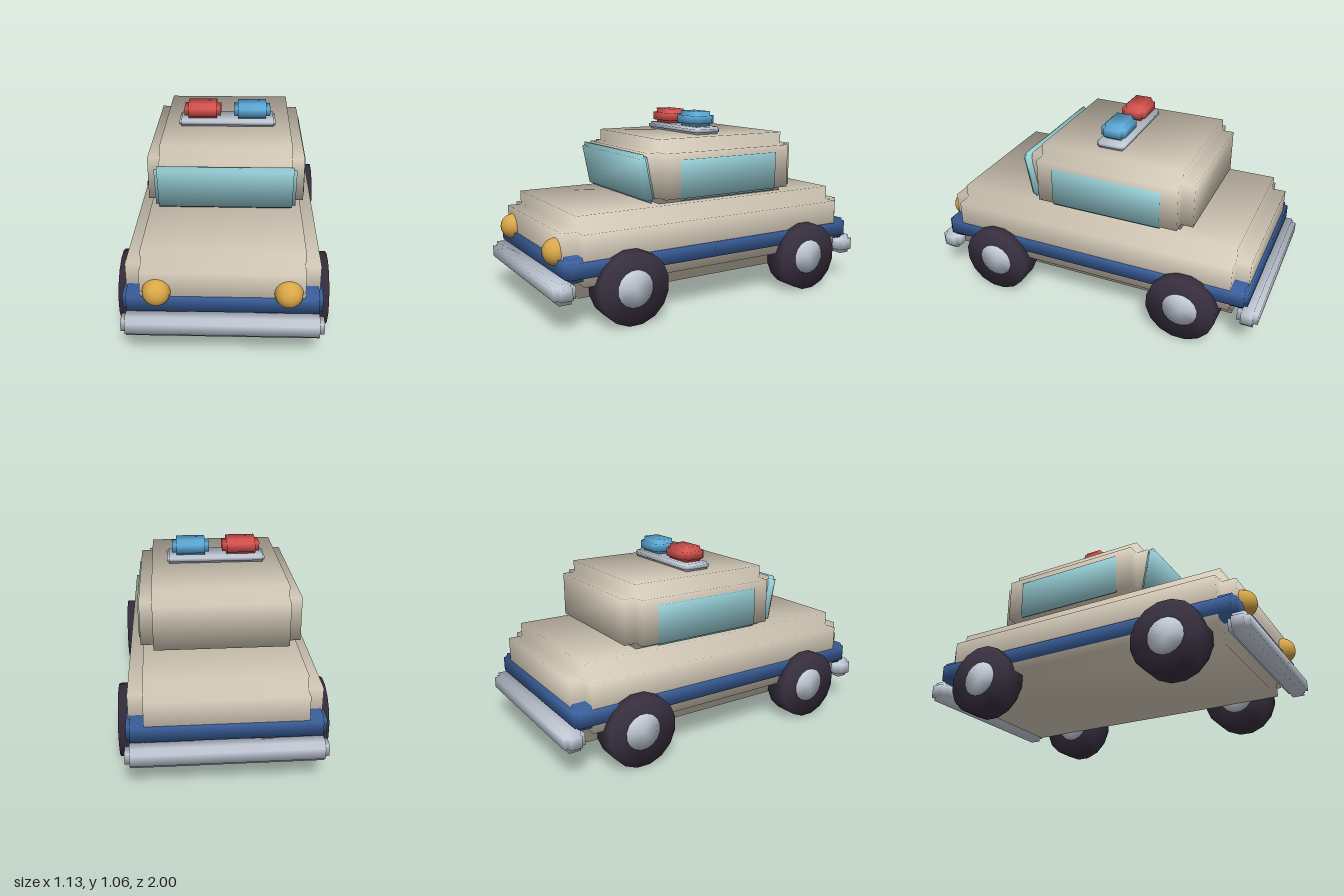
import * as THREE from 'three';
import { mergeVertices } from 'three/addons/utils/BufferGeometryUtils.js';

const mat = (name, color) => {
  const m = new THREE.MeshStandardMaterial({ color });
  m.name = name;
  return m;
};

// Box with its edges notched in by r and soft normals that point to the corners
function notchedBox(w, h, d, r) {
  const g = new THREE.BoxGeometry(1, 1, 1, 3, 3, 3);
  const p = g.attributes.position, n = g.attributes.normal;
  const core = [w / 2 - r, h / 2 - r, d / 2 - r];
  for (let i = 0; i < p.count; i++) {
    const v = [p.getX(i), p.getY(i), p.getZ(i)];
    const outer = v.map((c) => Math.abs(c) > 0.4);
    const onPad = outer.filter(Boolean).length === 1;
    const out = v.map((c, k) => Math.sign(c) * (core[k] + (onPad && outer[k] ? r : 0)));
    p.setXYZ(i, ...out);
    const s = v.map((c) => Math.sign(c) / Math.sqrt(3));
    n.setXYZ(i, ...s);
  }
  return g;
}

// Cylinder along x with one soft normal shared by cap and side
function softDisc(r, width) {
  const g = new THREE.CylinderGeometry(r, r, width, 16);
  g.deleteAttribute('normal');
  g.deleteAttribute('uv');
  g.rotateY(Math.PI / 16).rotateZ(Math.PI / 2);
  const merged = mergeVertices(g);
  merged.computeVertexNormals();
  return merged;
}

export function createModel() {
  const cream = mat('cream paint', 0xd6ccba);
  const navy = mat('blue trim', 0x3a5f9c);
  const rubber = mat('dark rubber', 0x382f3f);
  const chrome = mat('pale metal', 0xc3cbd8);
  const glass = mat('pale glass', 0x96cdd5);
  const amber = mat('amber lamp', 0xd9a748);
  const red = mat('red lamp', 0xd9534f);
  const sky = mat('blue lamp', 0x5dacdb);

  const car = new THREE.Group();
  car.name = 'car';
  const add = (name, geometry, material, x, y, z) => {
    const mesh = new THREE.Mesh(geometry, material);
    mesh.name = name;
    mesh.position.set(x, y, z);
    car.add(mesh);
    return mesh;
  };

  // Body shell, trim band and cabin
  add('body', notchedBox(1, 0.43, 1.84, 0.08), cream, 0, 0.365, 0);
  add('trimBand', notchedBox(1.022, 0.122, 1.872, 0.02), navy, 0, 0.321, 0);
  add('cabin', notchedBox(0.87, 0.39, 0.975, 0.07), cream, 0, 0.736, -0.088);

  // Windscreen leaning forward
  add('windscreen', notchedBox(0.776, 0.272, 0.046, 0.018), glass, 0, 0.723, 0.407).rotation.x = 0.19;

  // Roof light bar
  add('lightBarBase', notchedBox(0.56, 0.042, 0.165, 0.012), chrome, 0, 0.952, -0.047);
  add('redBeacon', notchedBox(0.212, 0.094, 0.144, 0.024), red, -0.145, 1.012, -0.045);
  add('blueBeacon', notchedBox(0.212, 0.094, 0.144, 0.024), sky, 0.143, 1.012, -0.045);

  // Bumpers front and back
  for (const s of [1, -1]) {
    add(s > 0 ? 'frontBumper' : 'rearBumper', notchedBox(1.04, 0.112, 0.116, 0.025), chrome, 0, 0.212, s * 0.942);
  }

  // Paired parts
  for (const s of [1, -1]) {
    const side = s > 0 ? 'left' : 'right';
    add(side + 'Window', notchedBox(0.03, 0.236, 0.665, 0.012), glass, s * 0.431, 0.718, -0.087);
    add(side + 'Headlight', new THREE.SphereGeometry(0.073, 16, 12), amber, s * 0.335, 0.39, 0.92);
    for (const f of [1, -1]) {
      const name = side + (f > 0 ? 'Front' : 'Rear');
      add(name + 'Tyre', softDisc(0.2, 0.14), rubber, s * 0.49, 0.197, f * 0.583);
      add(name + 'Hub', softDisc(0.101, 0.15), chrome, s * 0.49, 0.197, f * 0.583);
    }
  }
  return car;
}
